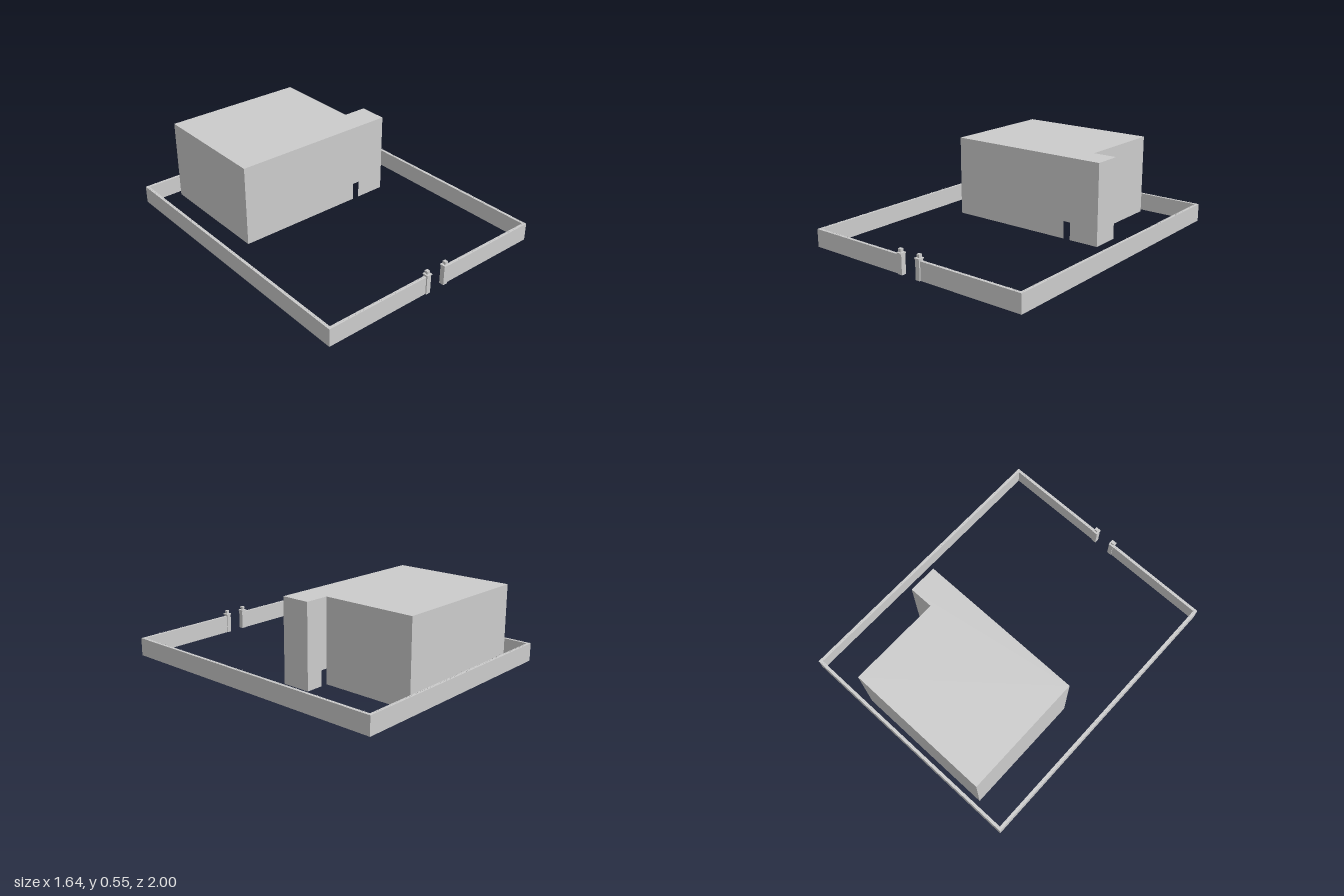
import * as THREE from 'three';
import { mergeGeometries } from 'three/addons/utils/BufferGeometryUtils.js';

const material = new THREE.MeshStandardMaterial({ color: 0xcccccc, flatShading: true });
const thin = new THREE.MeshStandardMaterial({ color: 0xcccccc, flatShading: true, side: THREE.DoubleSide });

const HOUSE_HEIGHT = 0.55, FENCE_HEIGHT = 0.12, FENCE_DEPTH = 0.02;

// House plan as [x, z] corners, counter-clockwise seen from above
const plan = [
  [-0.585, -0.115], [0.565, -0.115], [0.565, -0.31],
  [0.4, -0.31], [0.4, -0.94], [-0.585, -0.94],
];
// Doorways by wall index: [start, end, height] along the wall
const doors = { 0: [0.89, 0.94, 0.12], 2: [0.119, 0.164, 0.15] };

function addMesh(group, name, geometry, mat = material) {
  const mesh = new THREE.Mesh(geometry, mat);
  mesh.name = name;
  group.add(mesh);
  return mesh;
}

function addBox(group, name, x0, x1, y0, y1, z0, z1) {
  const box = new THREE.BoxGeometry(x1 - x0, y1 - y0, z1 - z0);
  box.translate((x0 + x1) / 2, (y0 + y1) / 2, (z0 + z1) / 2);
  return addMesh(group, name, box);
}

function buildHouse() {
  const house = new THREE.Group();
  house.name = 'house';
  plan.forEach(([x, z], i) => {
    const [nx, nz] = plan[(i + 1) % plan.length];
    const length = Math.hypot(nx - x, nz - z);
    const shape = new THREE.Shape().moveTo(0, 0);
    if (doors[i]) {
      const [a, b, h] = doors[i];
      shape.lineTo(a, 0).lineTo(a, h).lineTo(b, h).lineTo(b, 0);
    }
    shape.lineTo(length, 0).lineTo(length, HOUSE_HEIGHT).lineTo(0, HOUSE_HEIGHT);
    const wall = addMesh(house, 'houseWall', new THREE.ShapeGeometry(shape), thin);
    wall.position.set(x, 0, z);
    wall.rotation.y = Math.atan2(z - nz, nx - x);
  });
  // Flat roof
  const roof = new THREE.ShapeGeometry(new THREE.Shape(plan.map(([x, z]) => new THREE.Vector2(x, -z))));
  roof.rotateX(-Math.PI / 2).translate(0, HOUSE_HEIGHT, 0);
  addMesh(house, 'roof', roof, thin);
  return house;
}

function seeded(seed) {
  return () => (seed = (seed * 16807) % 2147483647) / 2147483647;
}

// Irregular little shards set along the top of a wall
function shards(x0, z0, x1, z1, random) {
  const count = Math.round(Math.hypot(x1 - x0, z1 - z0) / 0.012);
  const parts = [];
  for (let i = 0; i < count; i++) {
    const t = (i + 0.2 + 0.6 * random()) / count;
    const h = 0.005 + 0.006 * random();
    const shard = new THREE.ConeGeometry(0.002, h, 3);
    shard.rotateY(random() * 6.28);
    const jitter = (random() - 0.5) * 0.01;
    const alongX = z0 === z1;
    shard.translate(
      x0 + (x1 - x0) * t + (alongX ? 0 : jitter),
      FENCE_HEIGHT + h / 2 - 0.0005,
      z0 + (z1 - z0) * t + (alongX ? jitter : 0));
    parts.push(shard);
  }
  return mergeGeometries(parts);
}

function buildFence() {
  const fence = new THREE.Group();
  fence.name = 'boundaryWall';
  const random = seeded(7);
  const X = 0.82, back = -1, front = 0.982, d = FENCE_DEPTH, gate = 0.062;

  addBox(fence, 'backWall', -X, X, 0, FENCE_HEIGHT, back, back + d);
  addMesh(fence, 'backShards', shards(-X, back + d / 2, X, back + d / 2, random));

  for (const s of [-1, 1]) {
    const span = (a, b) => [Math.min(s * a, s * b), Math.max(s * a, s * b)];
    // Side and front stretches
    addBox(fence, 'sideWall', ...span(X - d, X), 0, FENCE_HEIGHT, back + d, front - d);
    addMesh(fence, 'sideShards', shards(s * (X - d / 2), back + d, s * (X - d / 2), front - d, random));
    addBox(fence, 'frontWall', ...span(gate, X), 0, FENCE_HEIGHT, front - d, front);
    addMesh(fence, 'frontShards', shards(s * 0.095, front - d / 2, s * X, front - d / 2, random));

    // Gate pillar with slab and lantern block
    addBox(fence, 'gatePillar', ...span(0.056, 0.088), 0, 0.13, 0.957, 0.99);
    addBox(fence, 'pillarSlab', ...span(0.054, 0.092), 0.13, 0.137, 0.953, 0.996);
    addBox(fence, 'pillarNeck', ...span(0.068, 0.082), 0.137, 0.143, 0.967, 0.982);
    addBox(fence, 'pillarLantern', ...span(0.064, 0.086), 0.143, 0.16, 0.963, 0.986);
  }
  return fence;
}

export function createModel() {
  const model = new THREE.Group();
  model.name = 'walledHouse';
  model.add(buildHouse(), buildFence());
  return model;
}
